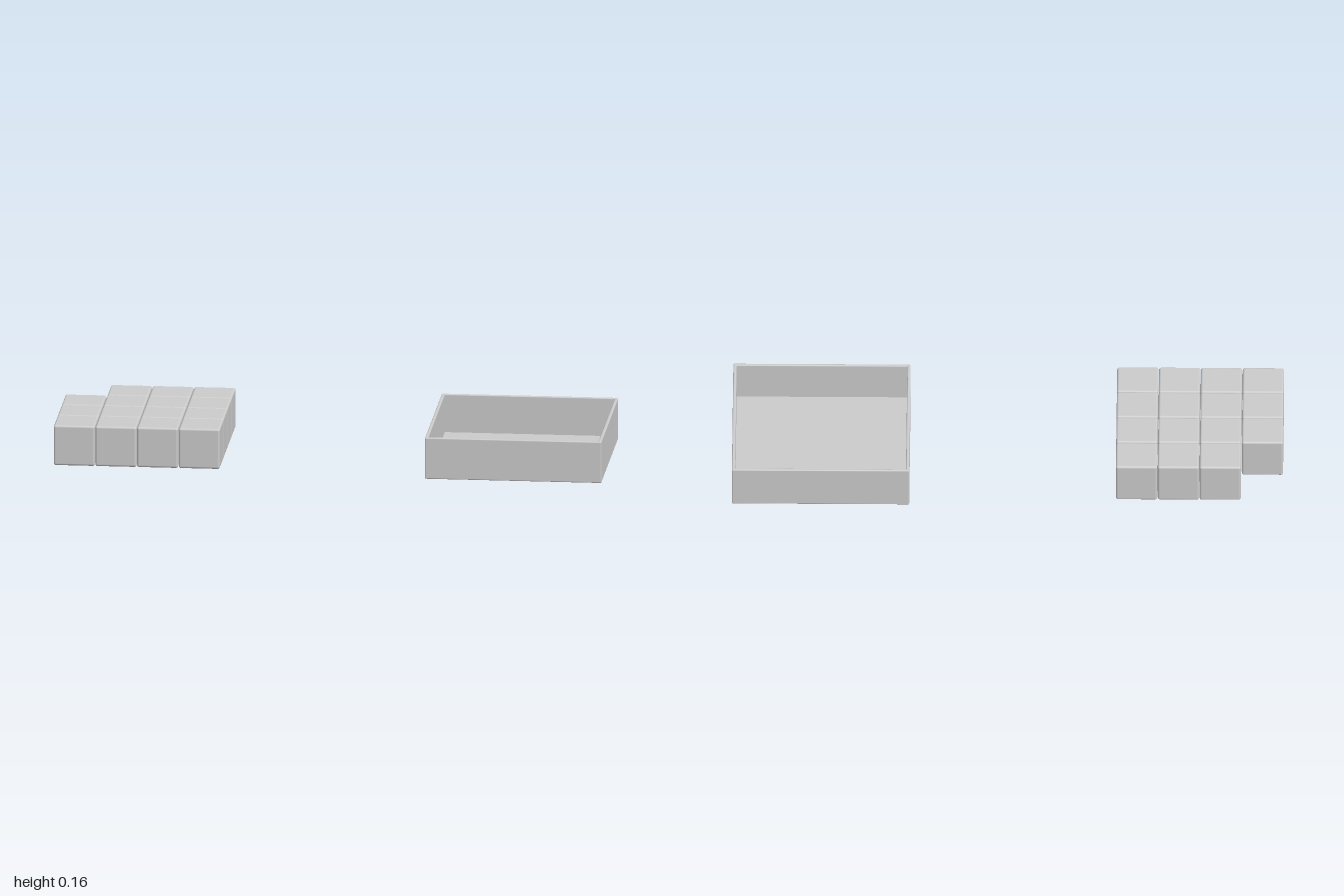
import * as THREE from 'three';
import { RoundedBoxGeometry } from 'three/addons/geometries/RoundedBoxGeometry.js';

const material = new THREE.MeshStandardMaterial({ color: 0xcccccc });

function roundedBox(name, size, radius, position) {
  const mesh = new THREE.Mesh(new RoundedBoxGeometry(...size, 3, radius), material);
  mesh.name = name;
  mesh.position.set(...position);
  return mesh;
}

// Open square tray: a thin floor and four thin walls
function createTray() {
  const tray = new THREE.Group();
  tray.name = 'tray';
  const width = 0.644, thick = 0.012, height = 0.151, bevel = 0.004;
  const offset = (width - thick) / 2;
  const wallY = 0.003 + height / 2;
  tray.add(roundedBox('trayFloor', [width, thick, width], bevel, [0, thick / 2, 0]));
  for (const [side, end, s] of [['leftWall', 'frontWall', 1], ['rightWall', 'backWall', -1]]) {
    tray.add(roundedBox(side, [thick, height, width], bevel, [s * offset, wallY, 0]));
    tray.add(roundedBox(end, [width, height, thick], bevel, [0, wallY, s * offset]));
  }
  tray.position.x = 1 - width / 2;
  return tray;
}

// Four by four grid of sliding blocks with the back right corner left empty
function createBlocks() {
  const blocks = new THREE.Group();
  blocks.name = 'blocks';
  const size = 0.15, pitch = 0.152;
  for (let row = 0; row < 4; row++) {
    for (let col = 0; col < 4; col++) {
      if (row === 0 && col === 0) continue;
      blocks.add(roundedBox('block', [size, size, size], 0.008,
        [-1 + size / 2 + col * pitch, 0.012 + size / 2, (row - 1.5) * pitch]));
    }
  }
  return blocks;
}

export function createModel() {
  const model = new THREE.Group();
  model.name = 'slidingBlockPuzzle';
  model.add(createTray(), createBlocks());
  return model;
}
